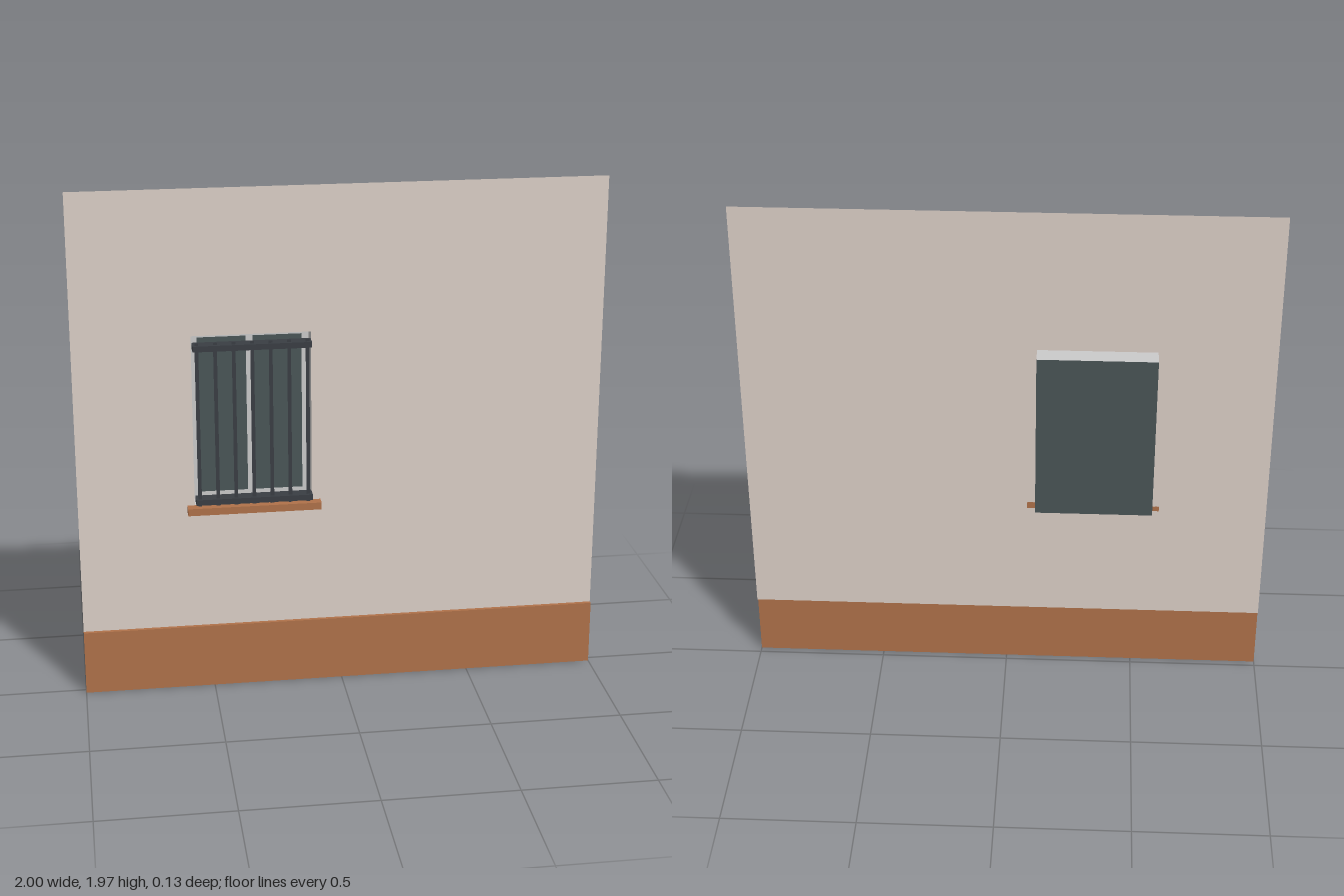
import * as THREE from 'three';

const material = (color) => new THREE.MeshStandardMaterial({ color, side: THREE.DoubleSide });

export function createModel() {
  const model = new THREE.Group();
  const plaster = material(0xddd0c8), clay = material(0xb0724a);
  const grey = material(0xcccccc), iron = material(0x3a3e44), glass = material(0x4a5657);

  const add = (parent, name, geometry, mat) => {
    const mesh = new THREE.Mesh(geometry, mat);
    mesh.name = name;
    parent.add(mesh);
    return mesh;
  };
  // Upright sheet facing the front
  const sheet = (parent, name, x0, x1, y0, y1, z, mat) =>
    add(parent, name, new THREE.PlaneGeometry(x1 - x0, y1 - y0), mat)
      .position.set((x0 + x1) / 2, (y0 + y1) / 2, z);
  const box = (parent, name, x0, x1, y0, y1, z0, z1, mat) =>
    add(parent, name, new THREE.BoxGeometry(x1 - x0, y1 - y0, z1 - z0), mat)
      .position.set((x0 + x1) / 2, (y0 + y1) / 2, (z0 + z1) / 2);

  const L = -0.56, R = -0.113, B = 0.752, T = 1.42; // window opening
  const mid = (L + R) / 2;
  const wallZ = 0.011, backZ = -0.063, frontZ = 0.063;
  const wallBottom = 0.253, wallTop = 1.973, baseZ = 0.026;

  // Thin wall with the opening cut out
  const wall = new THREE.Shape([
    new THREE.Vector2(-1, wallBottom), new THREE.Vector2(1, wallBottom),
    new THREE.Vector2(1, wallTop), new THREE.Vector2(-1, wallTop),
  ]);
  wall.holes.push(new THREE.Path([
    new THREE.Vector2(L, B), new THREE.Vector2(L, T),
    new THREE.Vector2(R, T), new THREE.Vector2(R, B),
  ]));
  add(model, 'wall', new THREE.ShapeGeometry(wall), plaster).position.z = wallZ;

  // Base band with its narrow top ledge
  const base = new THREE.Group();
  base.name = 'baseBand';
  model.add(base);
  sheet(base, 'baseFront', -1, 1, 0, wallBottom, baseZ, clay);
  const ledge = add(base, 'baseLedge', new THREE.PlaneGeometry(2, baseZ - wallZ), clay);
  ledge.rotation.x = -Math.PI / 2;
  ledge.position.set(0, wallBottom, (baseZ + wallZ) / 2);

  const win = new THREE.Group();
  win.name = 'window';
  model.add(win);

  // Reveal: four sheets lining the opening
  const depth = wallZ - backZ, revealZ = (wallZ + backZ) / 2;
  for (const [x, turn] of [[L, 1], [R, -1]]) {
    const side = add(win, 'revealSide', new THREE.PlaneGeometry(depth, T - B), grey);
    side.rotation.y = turn * Math.PI / 2;
    side.position.set(x, (B + T) / 2, revealZ);
  }
  for (const [y, turn] of [[B, -1], [T, 1]]) {
    const cap = add(win, y === B ? 'revealBottom' : 'revealTop', new THREE.PlaneGeometry(R - L, depth), grey);
    cap.rotation.x = turn * Math.PI / 2;
    cap.position.set(mid, y, revealZ);
  }

  // Pane with a flat frame and centre mullion
  sheet(win, 'pane', L, R, B, T, backZ, glass);
  const f = 0.027, frameZ = backZ + 0.003;
  sheet(win, 'frameLeft', L, L + f, B, T, frameZ, grey);
  sheet(win, 'frameRight', R - f, R, B, T, frameZ, grey);
  sheet(win, 'frameBottom', L + f, R - f, B, B + f, frameZ, grey);
  sheet(win, 'frameTop', L + f, R - f, T - f, T, frameZ, grey);
  sheet(win, 'mullion', mid - 0.013, mid + 0.013, B + f, T - f, frameZ, grey);

  // Sill
  box(model, 'sill', -0.588, -0.08, 0.724, B, wallZ, 0.051, clay);

  // Grille: two rails and seven flat bars
  const grille = new THREE.Group();
  grille.name = 'grille';
  model.add(grille);
  for (const y of [0.78, 1.384])
    box(grille, 'rail', -0.557, -0.115, y - 0.011, y + 0.011, wallZ, frontZ, iron);
  for (let i = 0; i < 7; i++) {
    const x = mid + (i - 3) * 0.0685;
    sheet(grille, 'bar', x - 0.007, x + 0.007, 0.762, 1.404, 0.052, iron);
  }
  return model;
}
